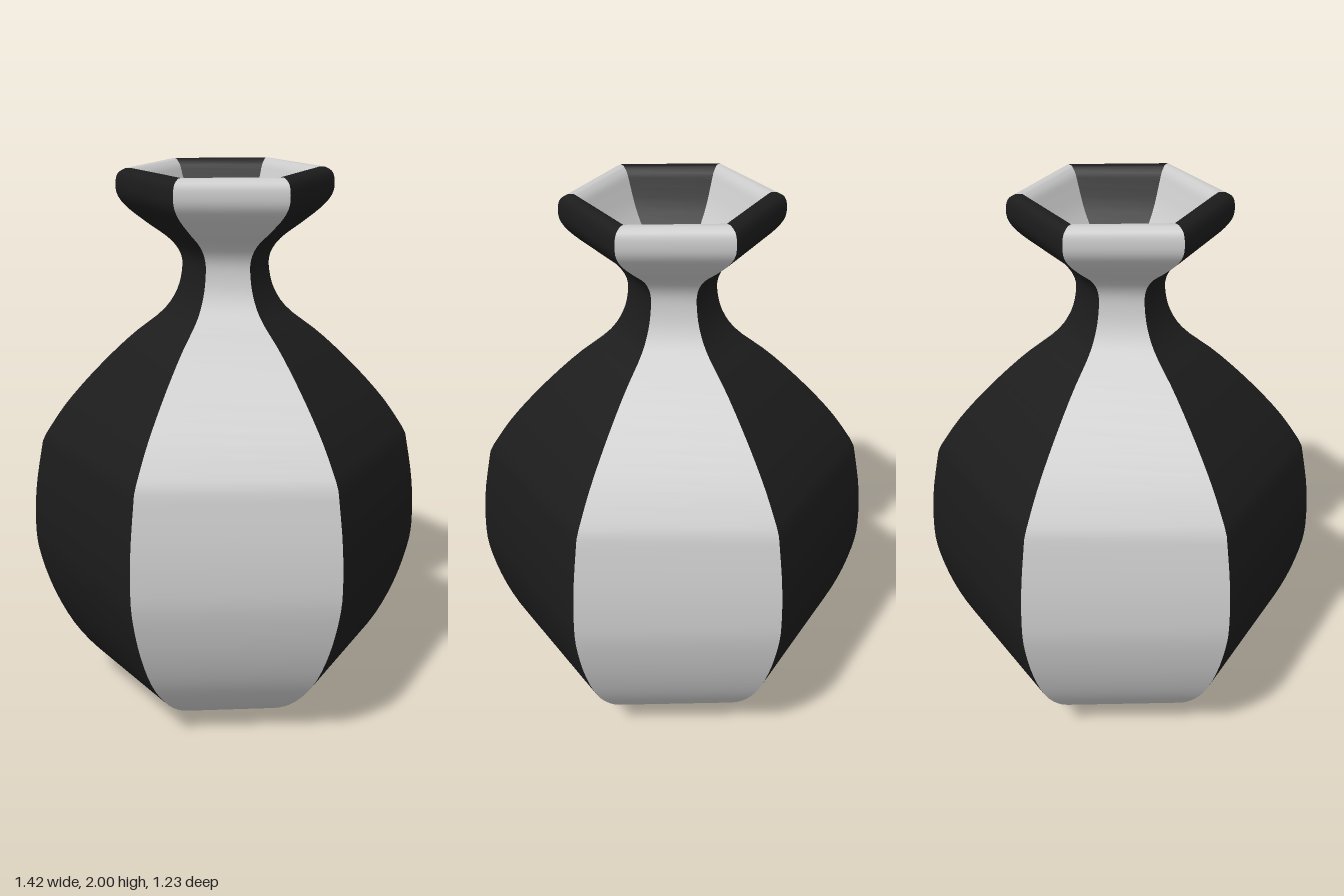
import * as THREE from 'three';

// Smooth curve through [radius, height] points
function smooth(points, divisions) {
  const curve = new THREE.SplineCurve(points.map(([r, y]) => new THREE.Vector2(r, y)));
  return curve.getPoints(divisions);
}

export function createModel() {
  const vase = new THREE.Group();
  vase.name = 'hexagonalVase';
  const grey = new THREE.MeshStandardMaterial({ color: 0xcccccc });
  const black = new THREE.MeshStandardMaterial({ color: 0x1c1c1c });

  // Profile along the corner of the hexagon: belly, shoulder and neck, rim, inner funnel
  const belly = smooth([[0.22, 0], [0.34, 0.05], [0.46, 0.135], [0.57, 0.26], [0.65, 0.415],
    [0.70, 0.58], [0.71, 0.70], [0.70, 0.85], [0.67, 1.02]], 28);
  const shoulder = smooth([[0.655, 1.05], [0.58, 1.16], [0.47, 1.285], [0.34, 1.41], [0.225, 1.50],
    [0.175, 1.57], [0.155, 1.64], [0.157, 1.70], [0.195, 1.755], [0.27, 1.81],
    [0.34, 1.865], [0.375, 1.91], [0.38, 1.955], [0.37, 1.985], [0.345, 2]], 44);
  const inside = smooth([[0.325, 2], [0.30, 1.98], [0.28, 1.94], [0.24, 1.865], [0.17, 1.78],
    [0.11, 1.70], [0.08, 1.62], [0.06, 1.4]], 20);
  const profile = [...belly, ...shoulder, ...inside, new THREE.Vector2(0, 0.01)];

  // Six flat-sided panels in alternating colours, each smooth from foot to rim
  for (let i = 0; i < 6; i++) {
    const geometry = new THREE.LatheGeometry(profile, 1, (i - 0.5) * Math.PI / 3, Math.PI / 3);
    geometry.computeVertexNormals();
    const panel = new THREE.Mesh(geometry, i % 2 ? black : grey);
    panel.name = `panel${i + 1}`;
    vase.add(panel);
  }

  // Flat foot
  const base = new THREE.Mesh(new THREE.CircleGeometry(0.22, 6).rotateX(Math.PI / 2), grey);
  base.name = 'base';
  vase.add(base);

  return vase;
}
